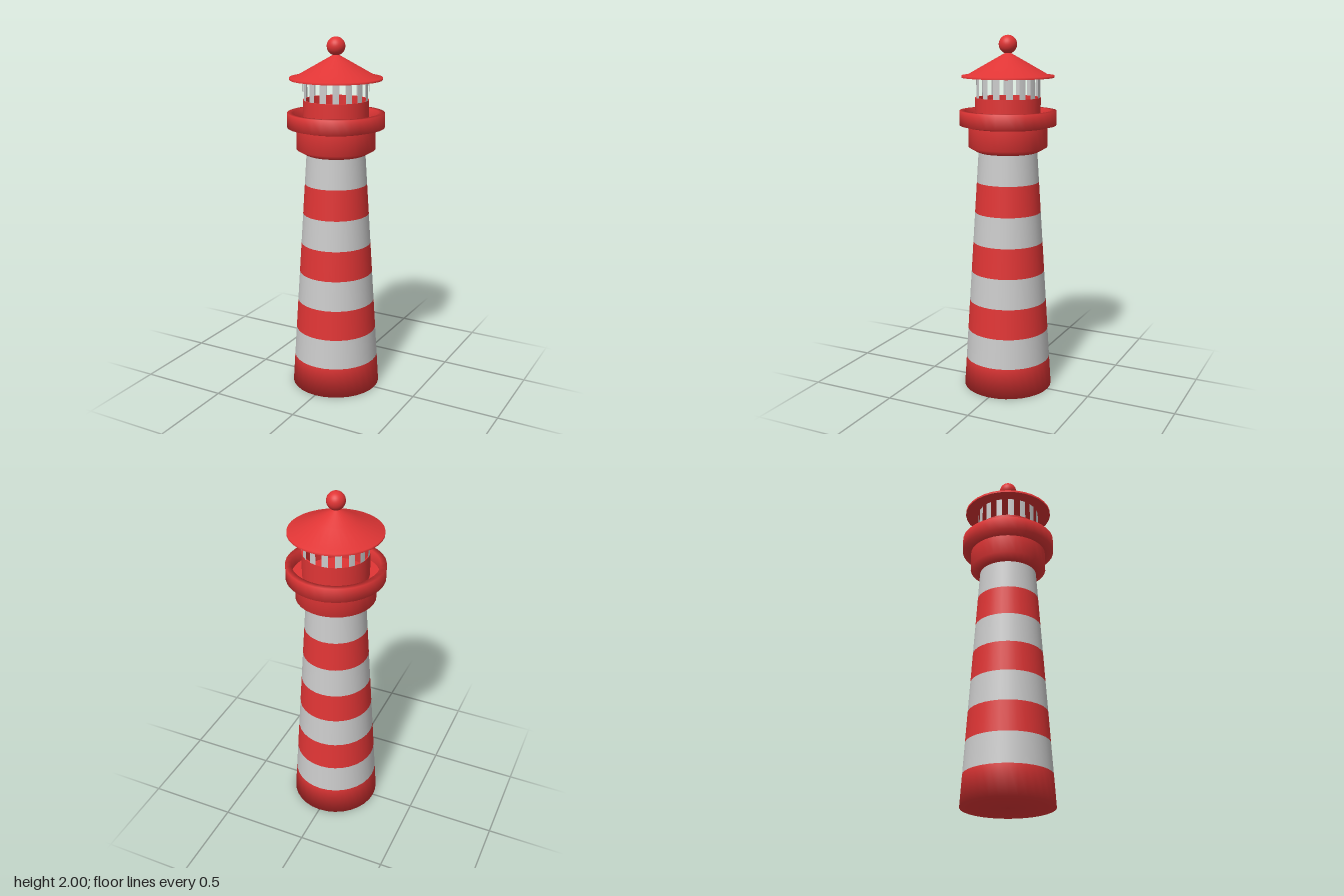
import * as THREE from 'three';

const SIDES = 32;
const red = new THREE.MeshStandardMaterial({ color: 0xe03535, side: THREE.DoubleSide });
const grey = new THREE.MeshStandardMaterial({ color: 0xcccccc, side: THREE.DoubleSide });

export function createModel() {
  const model = new THREE.Group();
  model.name = 'lighthouse';

  const add = (parent, name, geometry, material) => {
    const mesh = new THREE.Mesh(geometry, material);
    mesh.name = name;
    parent.add(mesh);
    return mesh;
  };
  // Turned part from [radius, height] pairs, running bottom to top on the outside
  const turned = (parent, name, profile, material) =>
    add(parent, name, new THREE.LatheGeometry(profile.map(([r, y]) => new THREE.Vector2(r, y)), SIDES), material);

  // Tapered tower in eight alternating bands
  const tower = new THREE.Group();
  tower.name = 'tower';
  model.add(tower);
  const towerHeight = 1.37, bands = 8;
  const radiusAt = (y) => 0.252 - 0.089 * (y / towerHeight);
  for (let i = 0; i < bands; i++) {
    const y0 = (towerHeight * i) / bands;
    const y1 = (towerHeight * (i + 1)) / bands;
    const profile = [[radiusAt(y0), y0], [radiusAt(y1), y1]];
    if (i === 0) profile.unshift([0, 0]); // closed foot
    turned(tower, i % 2 ? 'greyBand' : 'redBand', profile, i % 2 ? grey : red);
  }

  // Flared gallery support and its raised parapet around a sunken floor
  turned(model, 'gallerySupport', [
    [0.162, 1.365], [0.175, 1.37], [0.218, 1.395], [0.218, 1.503],
  ], red);
  turned(model, 'galleryParapet', [
    [0.218, 1.503], [0.267, 1.515], [0.267, 1.595], [0.235, 1.595], [0.235, 1.53],
  ], red);
  turned(model, 'galleryFloor', [[0.235, 1.53], [0, 1.53]], red);

  // Lantern room: low wall with a thin top edge
  turned(model, 'lanternWall', [[0.18, 1.53], [0.18, 1.665]], red);
  turned(model, 'lanternSill', [[0.18, 1.665], [0.172, 1.665]], red);
  turned(model, 'lanternInnerWall', [[0.172, 1.665], [0.172, 1.53]], red);

  // Sixteen posts, one on every second side of the lantern
  const posts = new THREE.Group();
  posts.name = 'lanternPosts';
  model.add(posts);
  const step = (Math.PI * 2) / SIDES;
  for (let k = 0; k < SIDES; k += 2) {
    const post = add(posts, 'lanternPost',
      new THREE.CylinderGeometry(0.18, 0.18, 0.113, 1, 1, true, k * step, step), grey);
    post.position.y = 1.7215;
  }

  // Roof with a thin brim, topped by a ball
  turned(model, 'roofUnderside', [[0, 1.773], [0.253, 1.773]], red);
  turned(model, 'roof', [
    [0.253, 1.773], [0.253, 1.785], [0.222, 1.788], [0.112, 1.85], [0, 1.913],
  ], red);
  add(model, 'roofBall', new THREE.SphereGeometry(0.05, 32, 20), red).position.y = 1.95;

  return model;
}
